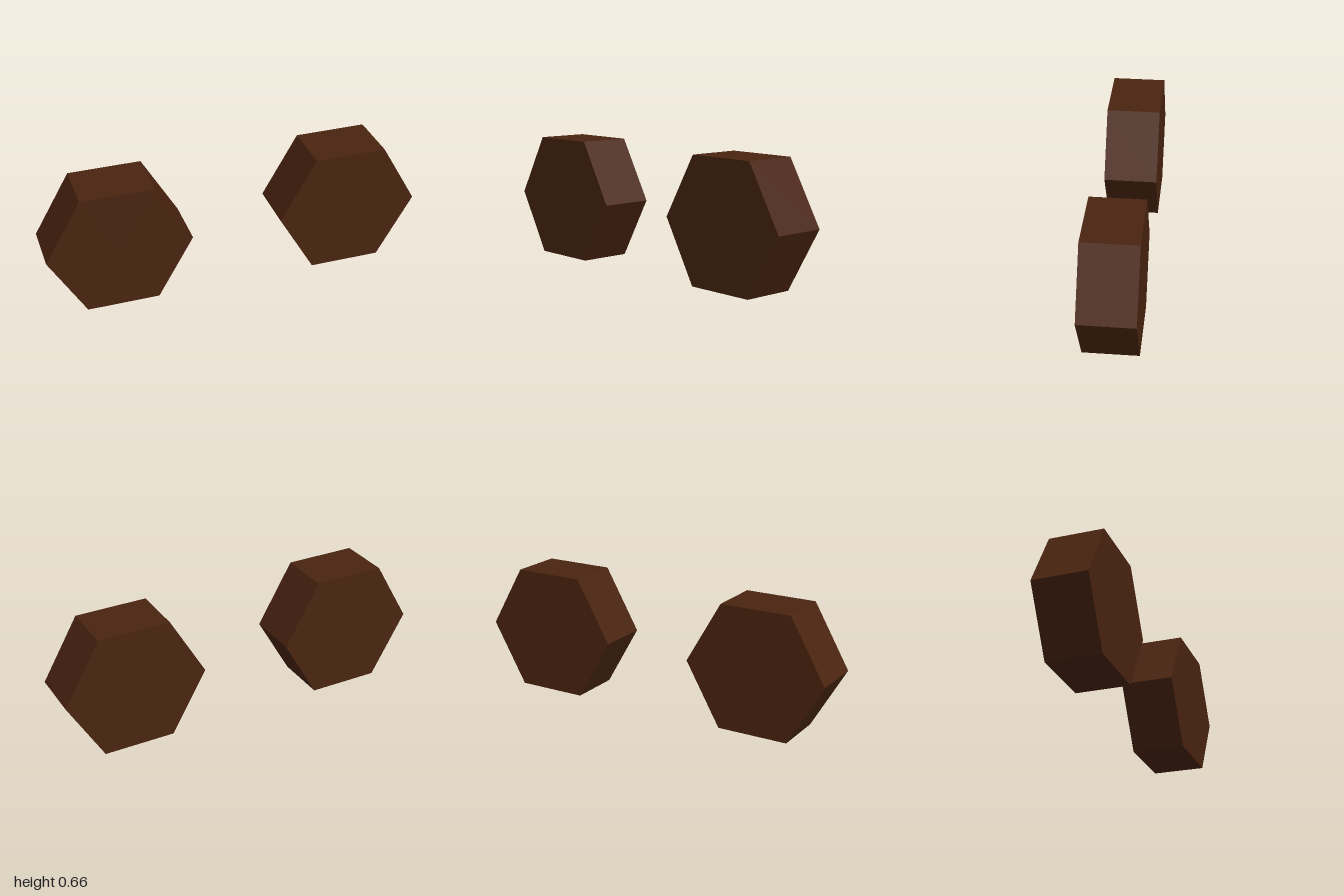
import * as THREE from 'three';

const RADIUS = 0.38;
const DEPTH = 0.285;

export function createModel() {
  const model = new THREE.Group();
  model.name = 'wheelPair';

  const darkBrown = new THREE.MeshStandardMaterial({ color: 0x4a2410, flatShading: true });
  darkBrown.name = 'dark brown';

  // Hexagonal prism: axis along z, corners pointing along x, flat side on the ground
  const hexagon = new THREE.CylinderGeometry(RADIUS, RADIUS, DEPTH, 6, 1, false, Math.PI / 2);
  hexagon.rotateX(Math.PI / 2);

  // One wheel on each side
  for (const [name, side] of [['leftWheel', 1], ['rightWheel', -1]]) {
    const wheel = new THREE.Mesh(hexagon, darkBrown);
    wheel.name = name;
    wheel.position.set(side * (1 - RADIUS), RADIUS * Math.cos(Math.PI / 6), 0);
    model.add(wheel);
  }
  return model;
}
